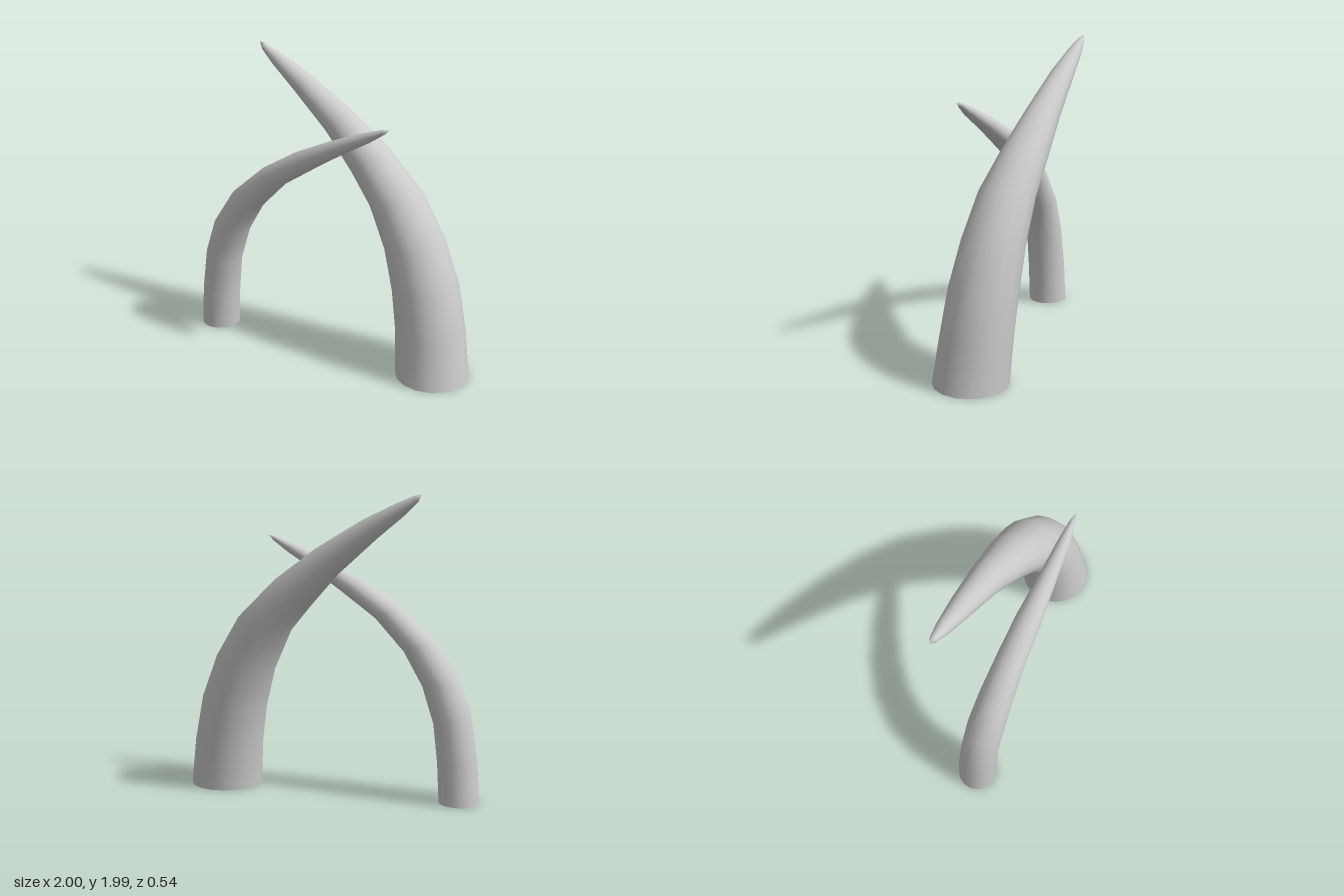
import * as THREE from 'three';

const SIDES = 16;

// Each section: [right x, right y, left x, left y, centre z]; the last entry is the tip [x, y, z].
const LARGE = [
  [0.995, 0, 0.515, 0, 0.032],
  [0.95, 0.31, 0.495, 0.28, 0.004],
  [0.88, 0.62, 0.45, 0.55, -0.022],
  [0.76, 0.91, 0.375, 0.81, -0.05],
  [0.585, 1.18, 0.242, 1.08, -0.083],
  [0.32, 1.43, 0.09, 1.25, -0.122],
  [0.03, 1.635, -0.12, 1.475, -0.157],
  [-0.28, 1.815, -0.39, 1.71, -0.188],
  [-0.5, 1.92, -0.565, 1.85, -0.21],
  [-0.63, 1.972, -0.655, 1.935, -0.222],
  [-0.68, 1.985, -0.226],
];
const SMALL = [
  [-0.735, 0, -1, 0, 0.078],
  [-0.72, 0.26, -0.98, 0.27, 0.083],
  [-0.69, 0.51, -0.935, 0.56, 0.09],
  [-0.61, 0.75, -0.85, 0.8, 0.1],
  [-0.48, 0.965, -0.69, 1.04, 0.114],
  [-0.28, 1.17, -0.45, 1.25, 0.132],
  [-0.05, 1.325, -0.19, 1.41, 0.155],
  [0.15, 1.455, 0.06, 1.53, 0.177],
  [0.36, 1.58, 0.3, 1.63, 0.196],
  [0.468, 1.655, 0.44, 1.678, 0.203],
  [0.505, 1.69, 0.206],
];

// Skin the rings of a tusk and close them at the tip
function tuskGeometry(sections) {
  const rings = sections.slice(0, -1);
  const pos = [], index = [];
  for (const [rx, ry, lx, ly, z] of rings) {
    const dx = (rx - lx) / 2, dy = (ry - ly) / 2, r = Math.hypot(dx, dy);
    for (let i = 0; i < SIDES; i++) {
      const a = (i / SIDES) * Math.PI * 2, c = Math.cos(a);
      pos.push((rx + lx) / 2 + dx * c, (ry + ly) / 2 + dy * c, z + r * Math.sin(a));
    }
  }
  pos.push(...sections[rings.length]);
  const tip = rings.length * SIDES;
  for (let k = 0; k < rings.length; k++) {
    for (let i = 0; i < SIDES; i++) {
      const a = k * SIDES + i, b = k * SIDES + ((i + 1) % SIDES);
      if (k === rings.length - 1) index.push(a, tip, b);
      else index.push(a, a + SIDES, b, b, a + SIDES, b + SIDES);
    }
  }
  const g = new THREE.BufferGeometry();
  g.setAttribute('position', new THREE.Float32BufferAttribute(pos, 3));
  g.setIndex(index);
  g.computeVertexNormals();
  return g;
}

function makeTusk(name, sections, material) {
  const group = new THREE.Group();
  group.name = name;
  const body = new THREE.Mesh(tuskGeometry(sections), material);
  body.name = name + 'Body';
  // Flat underside
  const [rx, , lx, , z] = sections[0];
  const base = new THREE.Mesh(new THREE.CircleGeometry((rx - lx) / 2, SIDES), material);
  base.name = name + 'Base';
  base.rotation.x = Math.PI / 2;
  base.position.set((rx + lx) / 2, 0, z);
  group.add(body, base);
  return group;
}

export function createModel() {
  const model = new THREE.Group();
  model.name = 'crossedTusks';
  const material = new THREE.MeshStandardMaterial({ color: 0xcccccc });
  model.add(makeTusk('largeTusk', LARGE, material), makeTusk('smallTusk', SMALL, material));
  return model;
}
